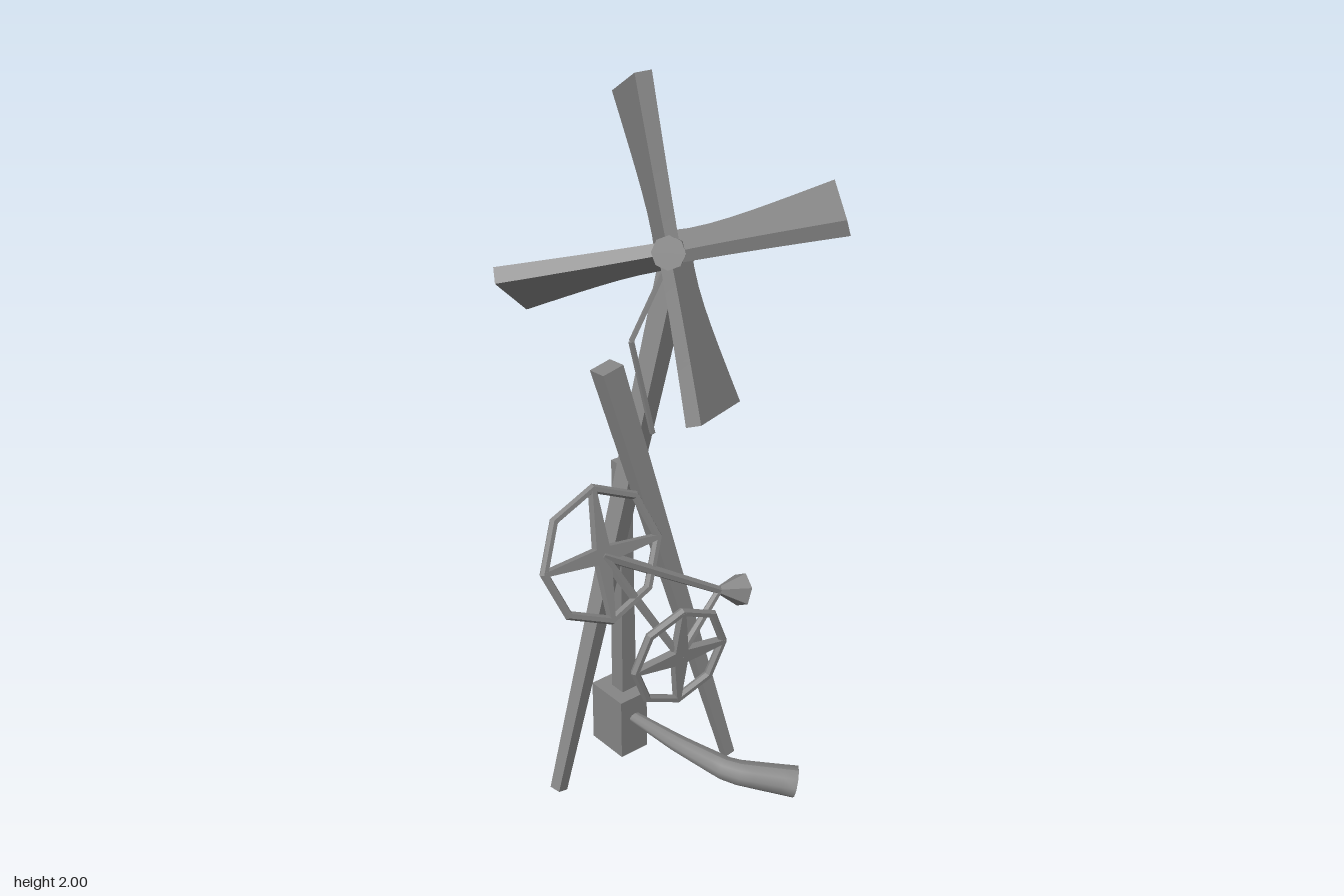
import * as THREE from 'three';

const V = (x, y, z) => new THREE.Vector3(x, y, z);
const smooth = new THREE.MeshStandardMaterial({ color: 0x868686 });
const flat = new THREE.MeshStandardMaterial({ color: 0x868686, flatShading: true });
const UP = V(0, 1, 0);

export function createModel() {
  const model = new THREE.Group();
  const add = (name, geometry, material = flat, parent = model) => {
    const mesh = new THREE.Mesh(geometry, material);
    mesh.name = name;
    parent.add(mesh);
    return mesh;
  };

  // Tapered bar from a to b with the given end radii, twisted about its length
  const bar = (name, a, b, ra, rb, sides = 4, twist = 0, material = flat) => {
    const geo = new THREE.CylinderGeometry(rb, ra, a.distanceTo(b), sides);
    geo.rotateY(Math.PI / sides + twist);
    const mesh = add(name, geo, material);
    mesh.position.copy(a).lerp(b, 0.5);
    mesh.quaternion.setFromUnitVectors(UP, b.clone().sub(a).normalize());
  };

  // Base block and the three structural beams
  const block = add('baseBlock', new THREE.BoxGeometry(0.134, 0.19, 0.094));
  block.position.set(-0.166, 0.105, 0.007);
  block.rotation.y = -0.35;
  bar('post', V(-0.16, 0.15, -0.008), V(-0.158, 0.945, -0.008), 0.036, 0.028, 4, -0.35);
  bar('tallBeam', V(-0.2, 0.01, 0.285), V(-0.07, 1.53, -0.165), 0.024, 0.046, 4, -0.19);
  bar('crossBeam', V(0.132, 0.01, -0.103), V(-0.145, 1.265, 0.08), 0.022, 0.046, 4, -0.42);

  // Rotor hub, with its axis tilted off the front
  const hub = V(-0.035, 1.56, -0.06);
  const axis = V(0.357, 0.327, 0.877).normalize();
  bar('rotorHub', hub.clone().addScaledVector(axis, -0.085), hub.clone().addScaledVector(axis, 0.04),
    0.035, 0.045, 8, 0, smooth);

  // Pitched blades: tip centre and direction of the blade's width
  const blades = [
    [V(-0.215, 1.951, -0.172), V(0.15, 0.09, 0.13)],
    [V(0.332, 1.675, -0.293), V(0.1, -0.03, 0.19)],
    [V(-0.425, 1.433, 0.1), V(0.04, 0.15, 0.165)],
    [V(0.122, 1.157, -0.012), V(0.003, 0.035, 0.21)],
  ];
  for (const [tip, across] of blades) {
    const along = tip.clone().sub(hub);
    const dir = along.clone().normalize();
    const w = across.clone().addScaledVector(dir, -across.dot(dir)).normalize();
    const n = w.clone().cross(dir);
    const geo = new THREE.BoxGeometry(1, 1, 1, 1, 8, 1);
    const pos = geo.attributes.position;
    for (let i = 0; i < pos.count; i++) {
      const t = pos.getY(i) + 0.5;
      const half = 0.034 + 0.077 * Math.pow(t, 1.15);
      // The rear edge flares into the back of the hub
      const side = pos.getX(i) > 0 ? half : -half - 0.05 * Math.pow(1 - t, 5);
      const thick = 0.034 + 0.012 * t;
      const p = hub.clone().addScaledVector(along, t)
        .addScaledVector(w, side)
        .addScaledVector(n, pos.getZ(i) * thick);
      pos.setXYZ(i, p.x, p.y, p.z);
    }
    geo.computeVertexNormals();
    add('rotorBlade', geo, smooth);
  }

  // Bent wire between hub and cross beam
  const elbow = V(-0.1, 1.33, 0.03);
  bar('wireUpper', V(-0.05, 1.53, -0.08), elbow, 0.008, 0.008);
  bar('wireLower', elbow, V(-0.055, 1.06, 0.0), 0.008, 0.008);

  // Octagonal wheel with a four-pointed star of spokes
  const wheel = (name, center, normal, lean, radius) => {
    const group = new THREE.Group();
    group.name = name;
    const z = normal.normalize();
    const y = lean.addScaledVector(z, -lean.dot(z)).normalize();
    group.setRotationFromMatrix(new THREE.Matrix4().makeBasis(y.clone().cross(z), y, z));
    group.position.copy(center);
    add('rim', new THREE.TorusGeometry(radius, 0.013, 6, 8), flat, group);
    const star = [];
    for (let k = 0; k < 4; k++) {
      const a = k * Math.PI / 2, c = Math.cos(a), s = Math.sin(a);
      for (const [u, v] of [[radius, -0.006], [radius, 0.006], [0.021, 0.021]]) {
        star.push(new THREE.Vector2(u * c - v * s, u * s + v * c));
      }
    }
    const geo = new THREE.ExtrudeGeometry(new THREE.Shape(star), { depth: 0.024, bevelEnabled: false });
    add('spokes', geo.translate(0, 0, -0.012), flat, group);
    model.add(group);
  };
  const upper = V(-0.09, 0.78, 0.206), lower = V(0.07, 0.43, 0.07);
  wheel('upperWheel', upper, V(0.89, 0.28, 0.36), V(-0.12, 1, -0.1), 0.184);
  wheel('lowerWheel', lower, V(0.89, -0.05, 0.42), V(0.05, 1, 0), 0.147);

  // Rods joining the wheels to a flared end piece
  const joint = V(0.105, 0.568, -0.09);
  bar('upperRod', upper, joint, 0.016, 0.012, 6);
  bar('lowerRod', lower, joint, 0.014, 0.01, 6);
  bar('linkRod', upper, lower, 0.015, 0.012, 6);
  bar('flaredEnd', joint, V(0.14, 0.545, -0.155), 0.012, 0.05, 6);

  // Widening, slightly flattened pipe leaving the base block in straight runs
  const path = new THREE.CatmullRomCurve3([
    V(-0.13, 0.13, 0.02), V(0.07, 0.128, 0.07), V(0.245, 0.112, 0.085), V(0.405, 0.08, 0),
  ], false, 'catmullrom', 0.1);
  const rings = 14, sides = 10;
  const tube = new THREE.TubeGeometry(path, rings, 1, sides, false);
  const pos = tube.attributes.position;
  for (let i = 0; i < pos.count; i++) {
    const t = Math.floor(i / (sides + 1)) / rings;
    const r = 0.018 + 0.032 * t;
    const c = path.getPointAt(t);
    const p = V(pos.getX(i), pos.getY(i), pos.getZ(i)).sub(c)
      .multiply(V(r, r * (0.7 + 0.15 * t), r)).add(c);
    pos.setXYZ(i, p.x, p.y, p.z);
  }
  tube.computeVertexNormals();
  add('pipe', tube, smooth);
  const cap = add('pipeCap', new THREE.CircleGeometry(0.05, sides));
  cap.scale.y = 0.85;
  cap.position.copy(path.getPointAt(1));
  cap.quaternion.setFromUnitVectors(V(0, 0, 1), path.getTangentAt(1));

  return model;
}
